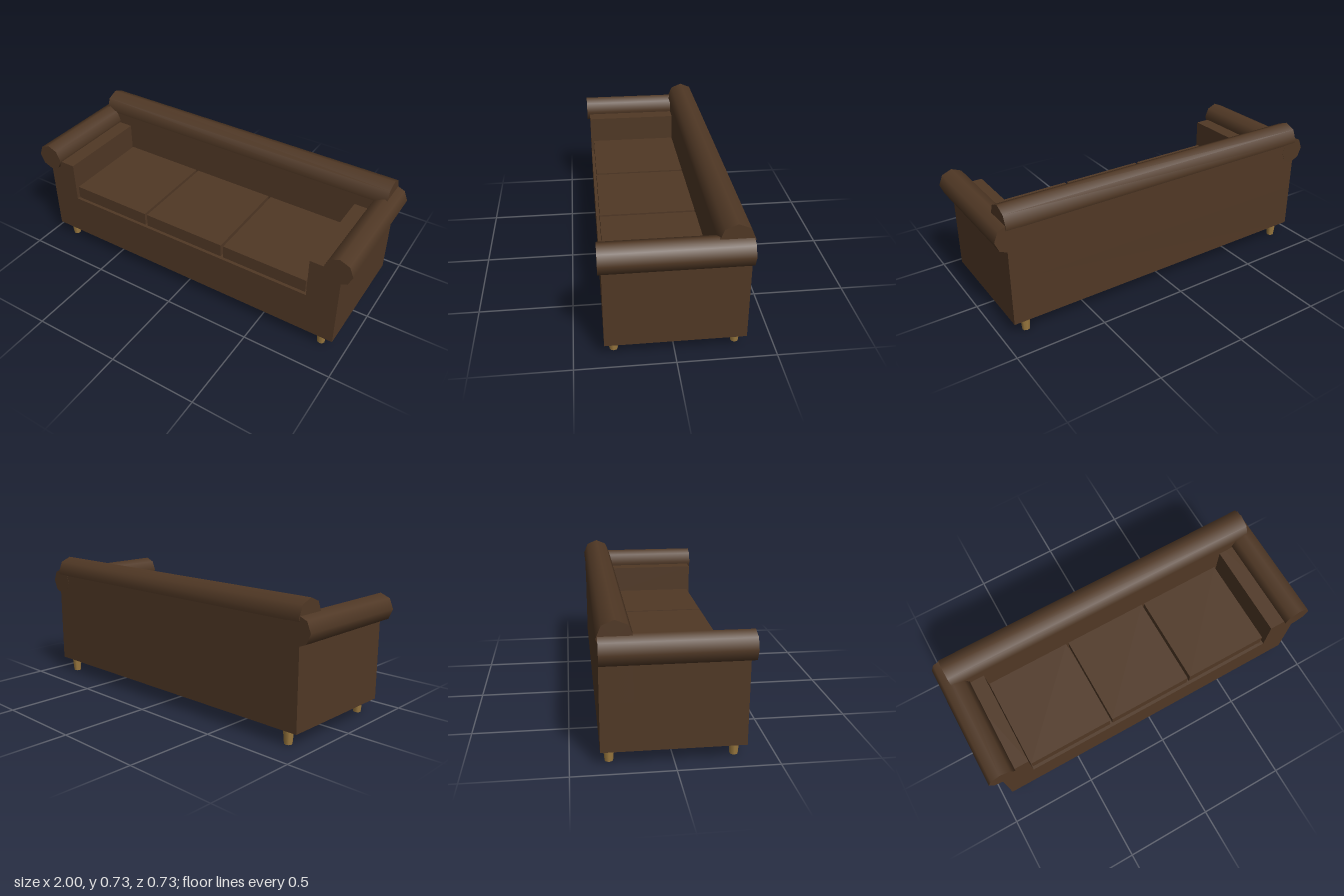
import * as THREE from 'three';

const upholstery = new THREE.MeshStandardMaterial({ color: 0x503825 });
upholstery.name = 'brown upholstery';
const wood = new THREE.MeshStandardMaterial({ color: 0x9c7a40 });
wood.name = 'golden wood';

export function createModel() {
  const sofa = new THREE.Group();
  sofa.name = 'sofa';

  const add = (name, geometry, material, x = 0, y = 0, z = 0) => {
    const mesh = new THREE.Mesh(geometry, material);
    mesh.name = name;
    mesh.position.set(x, y, z);
    sofa.add(mesh);
    return mesh;
  };

  // Box given by its lower and upper corners
  const box = (name, [x0, y0, z0], [x1, y1, z1]) =>
    add(name, new THREE.BoxGeometry(x1 - x0, y1 - y0, z1 - z0), upholstery,
      (x0 + x1) / 2, (y0 + y1) / 2, (z0 + z1) / 2);

  // Front and base: one U-shaped section that carries both arms
  const U = [[-0.938, 0.08], [0.938, 0.08], [0.938, 0.563], [0.765, 0.563],
    [0.765, 0.33], [-0.765, 0.33], [-0.765, 0.563], [-0.938, 0.563]];
  const frame = new THREE.ExtrudeGeometry(
    new THREE.Shape(U.map(([x, y]) => new THREE.Vector2(x, y))),
    { depth: 0.703, bevelEnabled: false });
  add('baseAndArms', frame, upholstery, 0, 0, -0.355);

  // Backrest
  box('backrest', [-0.938, 0.33, -0.355], [0.938, 0.64, -0.197]);

  // Three seat cushions
  for (const i of [-1, 0, 1]) {
    const x = i * 0.509 - 0.005;
    box('seatCushion', [x - 0.247, 0.33, -0.197], [x + 0.247, 0.407, 0.33]);
  }

  // Eight-sided bolster along the top of the back
  const backRoll = new THREE.CylinderGeometry(0.086, 0.086, 1.876, 8);
  backRoll.rotateZ(Math.PI / 2);
  add('backRoll', backRoll, upholstery, 0, 0.641, -0.277);

  // Eight-sided arm rolls and tapered legs, mirrored
  const armRoll = new THREE.CylinderGeometry(0.077, 0.077, 0.721, 8);
  armRoll.rotateX(Math.PI / 2);
  const leg = new THREE.CylinderGeometry(0.028, 0.021, 0.08, 8);
  for (const side of [-1, 1]) {
    const label = side > 0 ? 'left' : 'right';
    add(label + 'ArmRoll', armRoll, upholstery, side * 0.923, 0.58, 0.0045);
    add(label + 'FrontLeg', leg, wood, side * 0.86, 0.04, 0.3);
    add(label + 'BackLeg', leg, wood, side * 0.86, 0.04, -0.311);
  }
  return sofa;
}
